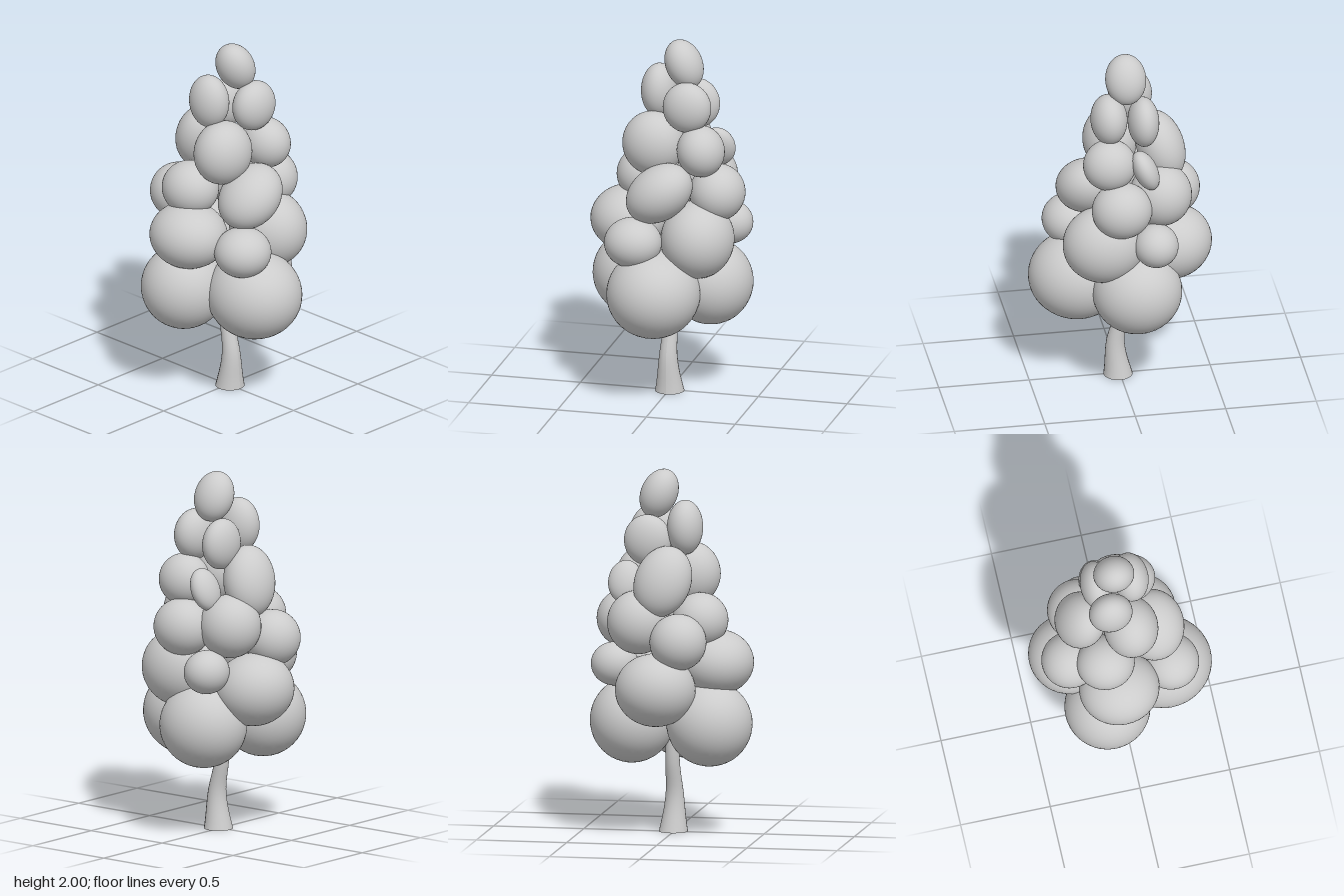
import * as THREE from 'three';

export function createModel() {
  const tree = new THREE.Group();
  tree.name = 'tree';
  const material = new THREE.MeshStandardMaterial({ color: 0xcccccc });

  // Trunk: a cylinder bent along a curve, flared at the foot
  const spine = new THREE.CatmullRomCurve3([
    [0.005, 0, 0.01], [0, 0.2, 0.024], [0.005, 0.4, -0.016], [0, 0.7, -0.02],
  ].map((p) => new THREE.Vector3(...p)));
  const trunkGeometry = new THREE.CylinderGeometry(1, 1, 1, 20, 14);
  const pos = trunkGeometry.attributes.position;
  for (let i = 0; i < pos.count; i++) {
    const t = pos.getY(i) + 0.5;
    const c = spine.getPoint(t);
    const r = 0.038 + 0.042 * Math.pow(1 - t, 3);
    pos.setXYZ(i, c.x + pos.getX(i) * r, c.y, c.z + pos.getZ(i) * r);
  }
  trunkGeometry.computeVertexNormals();
  const trunk = new THREE.Mesh(trunkGeometry, material);
  trunk.name = 'trunk';
  tree.add(trunk);

  // Foliage clumps by tier: [centre], [radii], tilt about x, tilt about z
  const tiers = {
    bottomFoliage: [
      [[-0.03, 0.62, 0.23], [0.256, 0.245, 0.268]],
      [[-0.22, 0.62, -0.12], [0.235, 0.235, 0.235]],
      [[0.22, 0.62, -0.06], [0.23, 0.235, 0.245]],
      [[0.05, 0.82, -0.28], [0.22, 0.2, 0.22], 0.3],
    ],
    lowerFoliage: [
      [[-0.245, 0.95, -0.06], [0.207, 0.18, 0.22]],
      [[-0.14, 0.91, 0.25], [0.158, 0.138, 0.155]],
      [[0.19, 0.915, 0.12], [0.2, 0.215, 0.225]],
      [[0.3, 0.94, -0.15], [0.13, 0.12, 0.122]],
    ],
    middleFoliage: [
      [[-0.08, 1.09, -0.3], [0.155, 0.155, 0.155]],
      [[0.16, 1.18, -0.2], [0.17, 0.175, 0.17]],
      [[0.28, 1.165, 0.035], [0.152, 0.157, 0.165]],
      [[-0.01, 1.18, 0.18], [0.2, 0.148, 0.17], 0, 0.65],
      [[-0.17, 1.19, -0.12], [0.152, 0.15, 0.16]],
    ],
    upperFoliage: [
      [[-0.08, 1.42, 0.04], [0.17, 0.178, 0.15]],
      [[0.2, 1.41, 0.09], [0.13, 0.142, 0.145], 0, 0.2],
      [[0.25, 1.385, -0.1], [0.095, 0.12, 0.065], 0.4, 0],
      [[0.02, 1.41, -0.22], [0.155, 0.2, 0.13], 0.3, 0.3],
    ],
    topFoliage: [
      [[-0.075, 1.69, -0.07], [0.098, 0.15, 0.12]],
      [[0.12, 1.65, 0.08], [0.134, 0.14, 0.1]],
      [[0.125, 1.62, -0.11], [0.13, 0.14, 0.085]],
      [[0.078, 1.865, -0.02], [0.1, 0.14, 0.112], 0, 0.4],
    ],
  };

  const clumpGeometry = new THREE.IcosahedronGeometry(1, 7);
  for (const [name, clumps] of Object.entries(tiers)) {
    const tier = new THREE.Group();
    tier.name = name;
    for (const [centre, radii, tiltX = 0, tiltZ = 0] of clumps) {
      const clump = new THREE.Mesh(clumpGeometry, material);
      clump.name = 'foliageClump';
      clump.position.set(...centre);
      clump.scale.set(...radii);
      clump.rotation.set(tiltX, 0, tiltZ);
      tier.add(clump);
    }
    tree.add(tier);
  }
  return tree;
}
